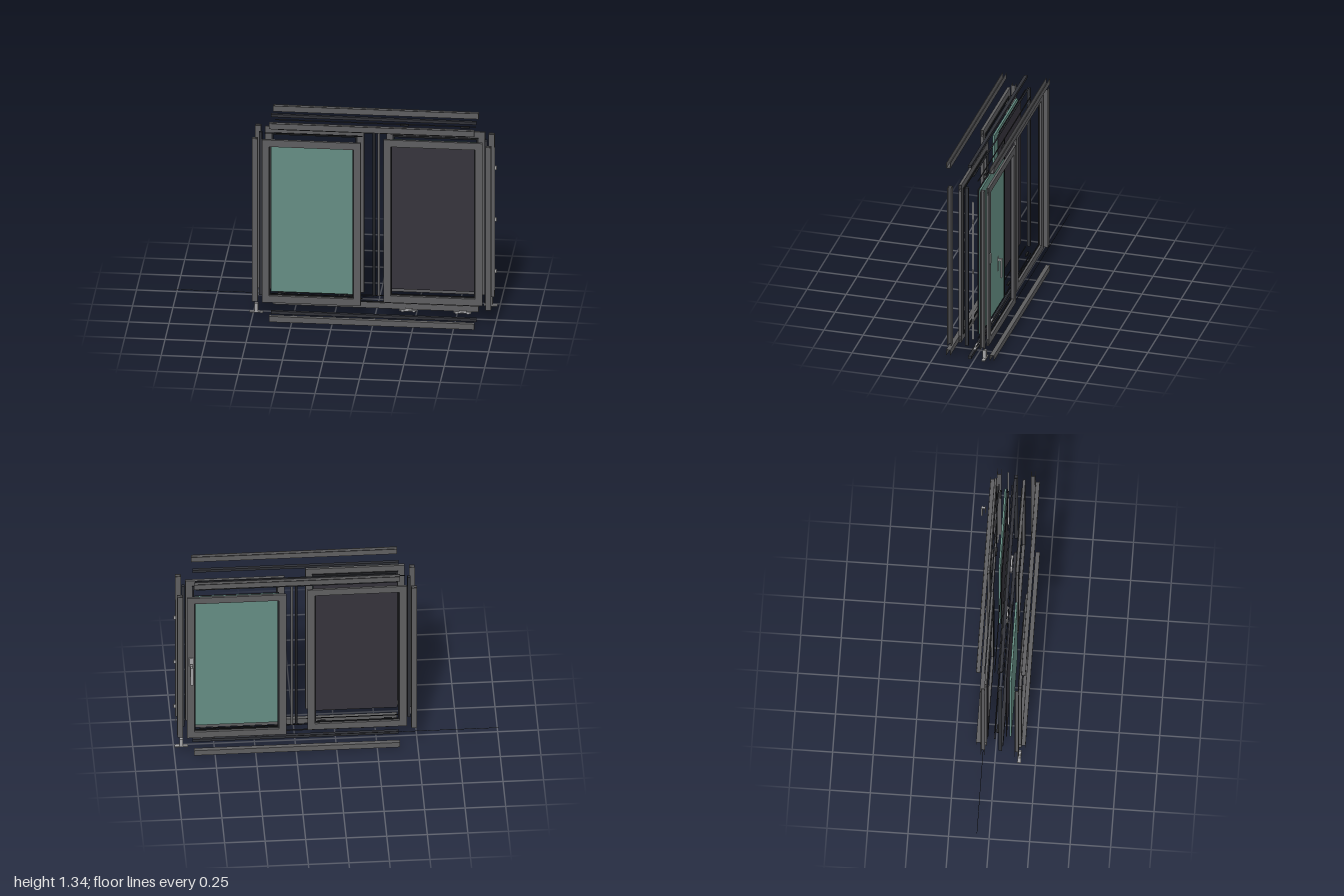
import * as THREE from 'three';

const mat = (name, color) => {
  const m = new THREE.MeshStandardMaterial({ color });
  m.name = name;
  return m;
};

export function createModel() {
  const root = new THREE.Group();
  root.name = 'explodedSlidingWindow';
  const frame = mat('frame grey', 0x5e5e60);
  const dark = mat('dark insert', 0x2f3137);
  const seal = mat('black seal', 0x202124);
  const glass = mat('green glass', 0x648d83);
  const screen = mat('dark screen', 0x35333b);
  const metal = mat('light metal', 0xa4a4a6);

  const add = (name, geo, m, parent = root) => {
    const mesh = new THREE.Mesh(geo, m);
    mesh.name = name;
    parent.add(mesh);
    return mesh;
  };
  // Box given by its minimum and maximum on each axis
  const box = (name, m, x0, x1, y0, y1, z0, z1, parent) => {
    const g = new THREE.BoxGeometry(x1 - x0, y1 - y0, z1 - z0);
    g.translate((x0 + x1) / 2, (y0 + y1) / 2, (z0 + z1) / 2);
    return add(name, g, m, parent);
  };
  // Profile extruded along z and centred
  const extrude = (shape, length) =>
    new THREE.ExtrudeGeometry(shape, { depth: length, bevelEnabled: false }).translate(0, 0, -length / 2);
  // U channel, open towards +y
  const channel = (w, h, length, t = 0.003) => {
    const a = w / 2, b = h / 2;
    const pts = [[-a, -b], [a, -b], [a, b], [a - t, b], [a - t, t - b], [t - a, t - b], [t - a, b], [-a, b]];
    return extrude(new THREE.Shape(pts.map(p => new THREE.Vector2(...p))), length);
  };
  // Rectangular tube with open ends, running along x
  const tube = (x0, x1, y0, y1, z0, z1, t = 0.002) => {
    const rect = (C, a, b) => new C([[-a, -b], [a, -b], [a, b], [-a, b]].map(p => new THREE.Vector2(...p)));
    const a = (z1 - z0) / 2, b = (y1 - y0) / 2;
    const s = rect(THREE.Shape, a, b);
    s.holes.push(rect(THREE.Path, a - t, b - t));
    return extrude(s, x1 - x0).rotateY(Math.PI / 2)
      .translate((x0 + x1) / 2, (y0 + y1) / 2, (z0 + z1) / 2);
  };

  // Outer cover profiles, head and sill
  const midX = 0.245, len = 1.27;
  for (const z of [0.168, -0.11]) {
    add('headProfile', channel(0.027, 0.037, len).rotateY(Math.PI / 2).translate(midX, 1.316, z), frame);
    add('sillProfile', channel(0.027, 0.037, len).rotateX(Math.PI).rotateY(Math.PI / 2)
      .translate(midX, 0.025, z), frame);
  }
  // Dark middle inserts on all four sides
  box('headInsert', dark, -0.39, 0.88, 1.319, 1.337, 0.021, 0.041);
  box('sillInsert', dark, -0.39, 0.88, 0, 0.019, 0.021, 0.041);
  box('rightJambInsert', dark, -0.464, -0.445, 0.125, 1.215, 0.021, 0.041);
  box('leftJambInsert', dark, 0.929, 0.948, 0.125, 1.215, 0.021, 0.041);

  // Side jamb channels, open outwards
  for (const z of [0.134, -0.075]) {
    for (const [x, s] of [[-0.48, 1], [0.963, -1]]) {
      add('jambProfile', channel(0.026, 0.036, 1.09).rotateX(-Math.PI / 2).rotateY(s * Math.PI / 2)
        .translate(x, 0.67, z), frame);
    }
  }

  // Sash frames: hollow rails over the full width, stiles in between
  const sashFrame = (name, x0, x1, z0, z1, sealZ) => {
    const g = new THREE.Group();
    g.name = name;
    root.add(g);
    const y0 = 0.127, y1 = 1.215, w = 0.045;
    add('bottomRail', tube(x0, x1, y0, y0 + w, z0, z1), frame, g);
    add('topRail', tube(x0, x1, y1 - w, y1, z0, z1), frame, g);
    box('stile', frame, x0, x0 + w, y0 + w, y1 - w, z0, z1, g);
    box('stile', frame, x1 - w, x1, y0 + w, y1 - w, z0, z1, g);
    // Glazing seal around the opening
    const a = x0 + w - 0.005, b = x1 - w + 0.005, c = y0 + w - 0.005, d = y1 - w + 0.005, e = 0.012;
    const s0 = sealZ, s1 = sealZ + 0.006;
    box('seal', seal, a, a + e, c, d, s0, s1, g);
    box('seal', seal, b - e, b, c, d, s0, s1, g);
    box('seal', seal, a + e, b - e, c, c + e, s0, s1, g);
    box('seal', seal, a + e, b - e, d - e, d, s0, s1, g);
  };
  sashFrame('rightSashFront', -0.435, 0.176, 0.143, 0.161, 0.137);
  sashFrame('rightSashBack', -0.435, 0.176, -0.068, -0.054, -0.054);
  sashFrame('leftSashFront', 0.31, 0.921, 0.073, 0.09, 0.067);
  sashFrame('leftSashBack', 0.31, 0.921, -0.103, -0.088, -0.088);

  // Panes with a dark sheet on the hidden side
  box('rightGlass', glass, -0.385, 0.135, 0.175, 1.17, 0.082, 0.095);
  box('rightScreen', screen, -0.385, 0.135, 0.175, 1.17, 0.061, 0.066);
  box('leftGlass', glass, 0.35, 0.87, 0.175, 1.17, -0.037, -0.025);
  box('leftScreen', screen, 0.35, 0.87, 0.175, 1.17, -0.021, -0.016);

  // Interlock strips at the meeting point
  box('interlock', seal, 0.234, 0.25, 0.127, 1.215, -0.012, -0.007);
  box('interlockCover', frame, 0.263, 0.279, 0.127, 1.215, -0.012, -0.007);

  // Thin running tracks and seals above and below
  for (const z of [0.012, -0.07]) {
    box('upperTrack', dark, -0.375, 0.865, 1.253, 1.258, z - 0.004, z + 0.004);
  }
  box('lowerTrack', dark, -0.375, 0.865, 0.084, 0.089, -0.014, -0.006);
  for (const y of [0.127, 1.213]) box('railSeal', seal, -0.35, 0.84, y, y + 0.004, -0.014, -0.008);
  for (const y of [0.127, 1.211]) box('thinRailSeal', seal, -0.43, 0.175, y, y + 0.004, 0.043, 0.048);

  // Guides over the sashes
  for (const x of [0.425, 0.8]) box('upperGuide', seal, x - 0.027, x + 0.027, 1.252, 1.264, -0.062, -0.05);
  for (const x of [-0.325, 0.085]) box('lowerGuide', seal, x - 0.025, x + 0.025, 0.129, 0.139, 0, 0.013);

  // Roller carriages
  for (const x of [0.455, 0.79]) {
    const g = new THREE.Group();
    g.name = 'rollerCarriage';
    root.add(g);
    box('carriagePlate', metal, x - 0.055, x + 0.055, 0.043, 0.051, 0.004, 0.02, g);
    box('carriageBlock', metal, x - 0.02, x + 0.025, 0.051, 0.061, 0.006, 0.018, g);
    for (const dx of [-0.035, 0.035]) {
      add('roller', new THREE.CylinderGeometry(0.009, 0.009, 0.008, 16).rotateX(Math.PI / 2)
        .translate(x + dx, 0.044, 0.012), metal, g);
    }
  }

  // Support feet under the jambs
  for (const [x, z] of [[-0.47, 0.15], [0.957, -0.088]]) {
    box('footPost', metal, x - 0.011, x + 0.011, 0.064, 0.118, z - 0.011, z + 0.011);
    box('footPlate', metal, x - 0.042, x + 0.042, 0.057, 0.064, z - 0.011, z + 0.011);
  }

  // Handle on the back of the left sash
  box('handleBase', metal, 0.887, 0.909, 0.69, 0.755, -0.11, -0.103);
  box('handlePlate', metal, 0.889, 0.907, 0.645, 0.745, -0.157, -0.154);
  box('handleNeck', metal, 0.892, 0.904, 0.715, 0.728, -0.173, -0.157);
  box('handleGrip', metal, 0.889, 0.907, 0.6, 0.732, -0.182, -0.173);

  // Lock strip with keepers
  box('lockStrip', metal, 0.985, 0.989, 0.195, 1.145, -0.026, -0.016);
  for (const y of [0.32, 0.665, 1.01]) box('keeper', metal, 0.989, 1, y - 0.012, y + 0.012, -0.025, -0.017);

  // Thin cable leading out to the side
  add('cable', new THREE.CylinderGeometry(0.0015, 0.0015, 1.25, 8).rotateZ(Math.PI / 2)
    .translate(-0.375, 0.09, -0.075), seal);

  return root;
}
